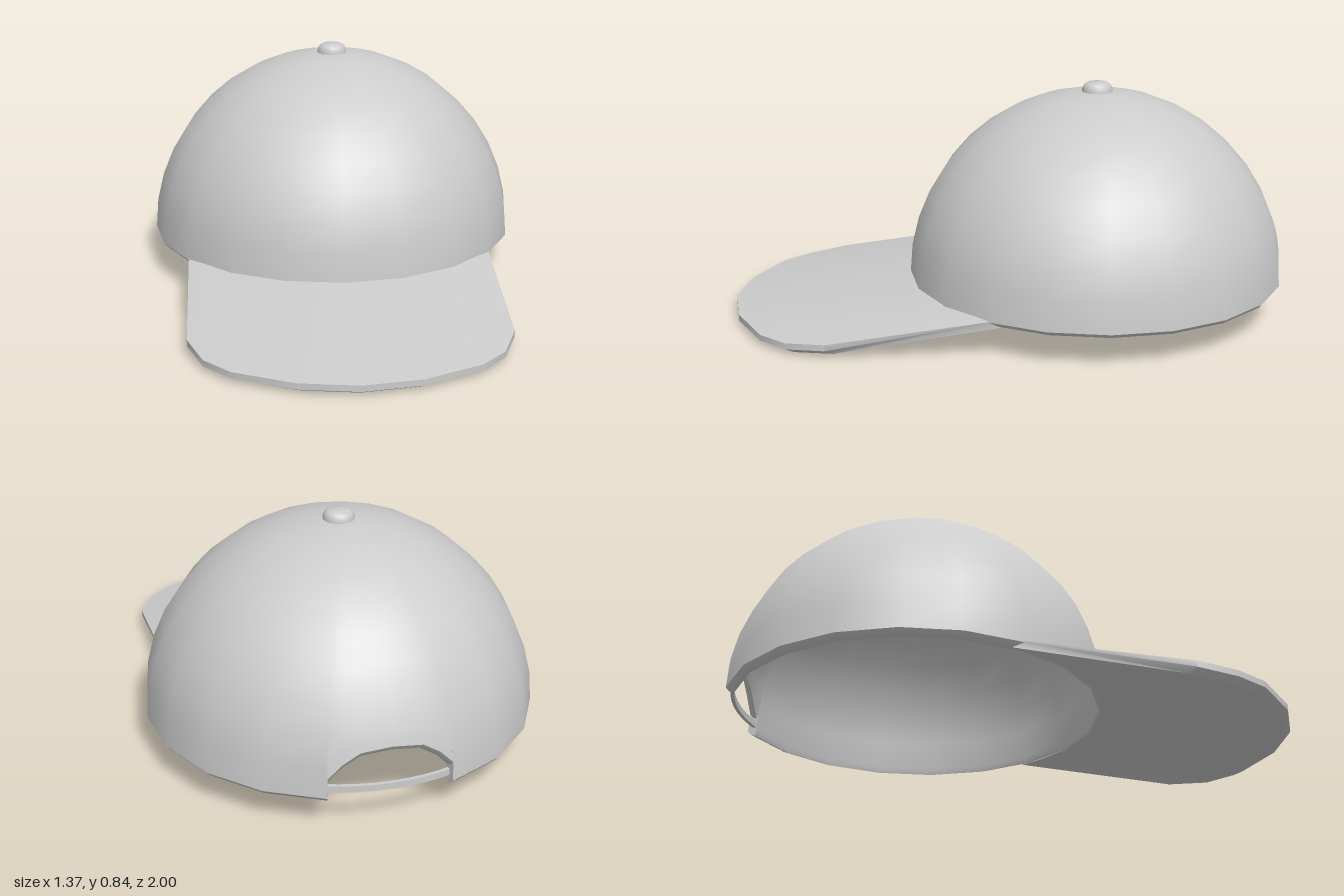
import * as THREE from 'three';
import { toCreasedNormals } from 'three/addons/utils/BufferGeometryUtils.js';

const DEG = Math.PI / 180;
const CENTER = new THREE.Vector3(0, 0.13, -0.335); // centre of the dome
const R = 0.685, INNER = 0.65;

// Point at angle a (0 = back, 90 = model's left) with radius r and height y
const around = (a, r, y) =>
  new THREE.Vector3(r * Math.sin(a * DEG), y, CENTER.z - r * Math.cos(a * DEG));

// Skin a list of equal-length sections; either a ring of open profiles or a capped run of closed loops
function loft(sections, ring) {
  const pos = [], n = sections[0].length, m = sections.length;
  const tri = (a, b, c) => {
    if (new THREE.Triangle(a, b, c).getArea() > 1e-7)
      for (const p of [a, b, c]) pos.push(p.x, p.y, p.z);
  };
  for (let i = 0; i < (ring ? m : m - 1); i++) {
    const s = sections[i], t = sections[(i + 1) % m];
    for (let j = 0; j < (ring ? n - 1 : n); j++) {
      const k = (j + 1) % n;
      tri(s[j], t[j], t[k]);
      tri(s[j], t[k], s[k]);
    }
  }
  if (!ring) {
    const a = sections[0], b = sections[m - 1];
    for (let j = 1; j < n - 1; j++) {
      tri(a[0], a[j], a[j + 1]);
      tri(b[0], b[j + 1], b[j]);
    }
  }
  const g = new THREE.BufferGeometry();
  g.setAttribute('position', new THREE.Float32BufferAttribute(pos, 3));
  return toCreasedNormals(g, 0.7);
}

// Shell profile at one angle: outside from the pole down, round the hem, back up inside
function domeProfile(a, hemY) {
  const hem = Math.asin((hemY - CENTER.y) / R) / DEG;
  const elevations = [];
  for (let e = 90; e >= 18; e -= 9) elevations.push(e);
  elevations.push((18 + hem) / 2, hem);
  const at = (e, r, drop = 0) =>
    around(a, r * Math.cos(e * DEG), CENTER.y + r * Math.sin(e * DEG) - drop);
  return [
    ...elevations.map(e => at(e, R)),
    at(hem, 0.673, 0.014), at(hem, 0.657, 0.02),
    ...elevations.reverse().map(e => at(e, INNER)),
  ];
}

function domeGeometry() {
  const columns = [];
  // Arched opening at the back
  for (const [a, y] of [[-18, 0.2], [-14, 0.25], [-9, 0.288], [0, 0.3], [9, 0.288], [14, 0.25], [18, 0.2]])
    columns.push(domeProfile(a, y));
  // Full-height columns all the way round
  for (let a = 18; a <= 342; a += 18) columns.push(domeProfile(a, CENTER.y));
  return loft(columns, true);
}

function brimGeometry() {
  // Half outline: x, z and top height of the outer edge, plus x at the dome
  const half = [
    [0.555, 0.63, 0.055, 0.555], [0.5, 0.77, 0.042, 0.5], [0.41, 0.865, 0.04, 0.4],
    [0.205, 0.965, 0.04, 0.21], [0, 0.998, 0.04, 0],
  ];
  const outline = [...half, ...half.slice(0, 4).reverse().map(([x, z, y, xi]) => [-x, z, y, -xi])];
  const sections = outline.map(([x, z, y, xi]) => {
    const zi = CENTER.z + Math.sqrt(0.665 ** 2 - xi * xi);
    return [
      new THREE.Vector3(xi, 0.138, zi),
      new THREE.Vector3(x, y, z),
      new THREE.Vector3(x, y - 0.022, z),
      new THREE.Vector3(x * 0.97, y - 0.038, z - 0.03),
      new THREE.Vector3(xi, 0.111, zi),
    ].map(p => p.setY(Math.max(0, p.y)));
  });
  return loft(sections, false);
}

// Thin adjusting strap across the opening
function strapGeometry() {
  const sections = [];
  for (let a = -20; a <= 20; a += 5)
    sections.push([
      around(a, 0.665, 0.165), around(a, 0.665, 0.142),
      around(a, 0.652, 0.142), around(a, 0.652, 0.165),
    ]);
  return loft(sections, false);
}

// Rounded button on the crown
function buttonGeometry() {
  const profile = [[0.055, -0.012], [0.055, 0.008], [0.048, 0.022], [0.036, 0.03], [0, 0.032]];
  return toCreasedNormals(
    new THREE.LatheGeometry(profile.map(([x, y]) => new THREE.Vector2(x, y)), 16), 0.9);
}

export function createModel() {
  const group = new THREE.Group();
  group.name = 'cap';
  const material = new THREE.MeshStandardMaterial({ color: 0xcccccc });
  const add = (name, geometry) => {
    const mesh = new THREE.Mesh(geometry, material);
    mesh.name = name;
    group.add(mesh);
    return mesh;
  };
  add('dome', domeGeometry());
  add('brim', brimGeometry());
  add('strap', strapGeometry());
  add('button', buttonGeometry()).position.set(0, 0.813, CENTER.z);
  return group;
}
